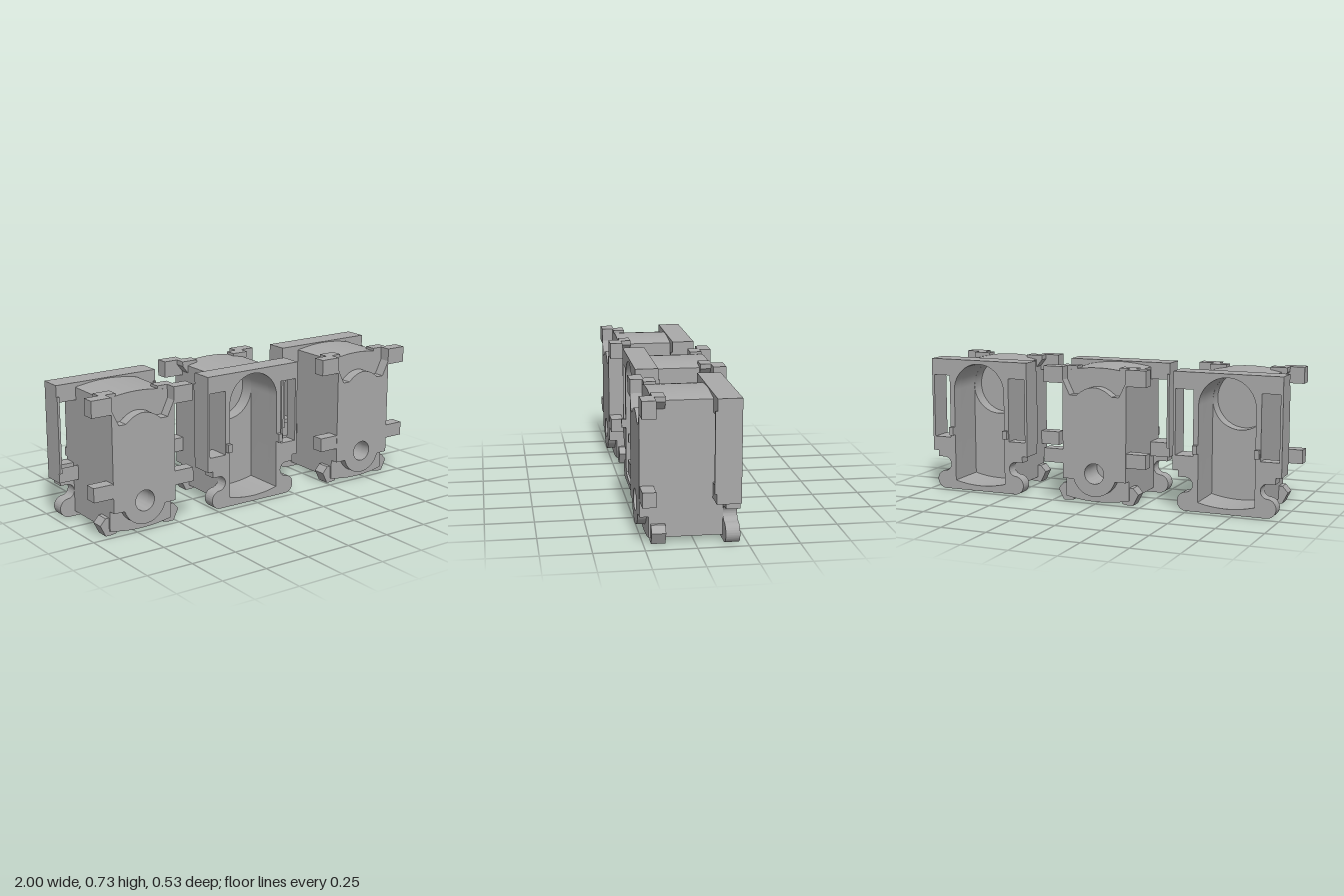
import * as THREE from 'three';
import { toCreasedNormals } from 'three/addons/utils/BufferGeometryUtils.js';

const grey = new THREE.MeshStandardMaterial({ color: 0xa9a9a9 });
grey.name = 'plastic grey';

// Extrude a shape from z0 to z1 as a named mesh
function slab(name, shape, z0, z1) {
  const geo = new THREE.ExtrudeGeometry(shape, { depth: z1 - z0, bevelEnabled: false, curveSegments: 20 });
  geo.translate(0, 0, z0);
  const mesh = new THREE.Mesh(toCreasedNormals(geo, 0.6), grey);
  mesh.name = name;
  return mesh;
}

function poly(points) {
  return new THREE.Shape(points.map(([x, y]) => new THREE.Vector2(x, y)));
}

function rect(x0, y0, x1, y1, Type = THREE.Shape) {
  return new Type([[x0, y0], [x1, y0], [x1, y1], [x0, y1]].map(([x, y]) => new THREE.Vector2(x, y)));
}

function circleHole(y, r) {
  return new THREE.Path().absarc(0, y, r, 0, Math.PI * 2);
}

// Arched opening with a slightly bowed floor
function archHole() {
  const p = new THREE.Path();
  p.moveTo(-0.152, 0.05);
  p.quadraticCurveTo(0, 0.01, 0.152, 0.05);
  p.lineTo(0.152, 0.553);
  p.absarc(0, 0.553, 0.152, 0, Math.PI);
  p.lineTo(-0.152, 0.05);
  return p;
}

// Body section with bowed top and bottom
function bodyShape(...holes) {
  const s = new THREE.Shape();
  s.moveTo(-0.18, 0.025);
  s.quadraticCurveTo(0, -0.015, 0.18, 0.025);
  s.lineTo(0.18, 0.7);
  s.quadraticCurveTo(0, 0.74, -0.18, 0.7);
  s.lineTo(-0.18, 0.025);
  s.holes.push(...holes);
  return s;
}

// Flange outline: square shoulders, round necks and rounded feet
function flangeShape() {
  const s = new THREE.Shape();
  s.moveTo(-0.215, 0);
  s.lineTo(0.215, 0);
  s.absarc(0.215, 0.05, 0.05, -Math.PI / 2, Math.PI / 2);
  s.absarc(0.22, 0.139, 0.039, -Math.PI / 2, Math.PI / 2, true);
  s.lineTo(0.26, 0.178);
  s.lineTo(0.26, 0.212);
  s.lineTo(0.29, 0.212);
  s.lineTo(0.29, 0.725);
  s.lineTo(-0.29, 0.725);
  s.lineTo(-0.29, 0.212);
  s.lineTo(-0.26, 0.212);
  s.lineTo(-0.26, 0.178);
  s.absarc(-0.22, 0.139, 0.039, Math.PI / 2, Math.PI * 1.5, true);
  s.absarc(-0.215, 0.05, 0.05, Math.PI / 2, Math.PI * 1.5);
  s.holes.push(archHole(), rect(0.18, 0.29, 0.277, 0.635, THREE.Path), rect(-0.277, 0.29, -0.18, 0.635, THREE.Path));
  return s;
}

// Front plate: scalloped top edge and a round boss at the bottom
function plateShape() {
  const s = new THREE.Shape();
  s.moveTo(-0.18, 0.13);
  s.lineTo(-0.118, 0.13);
  s.absarc(0, 0.165, 0.123, Math.PI + 0.29, Math.PI * 2 - 0.29);
  s.lineTo(0.18, 0.13);
  s.lineTo(0.18, 0.66);
  s.lineTo(0.14, 0.578);
  s.lineTo(0.1, 0.578);
  s.quadraticCurveTo(0, 0.668, -0.1, 0.578);
  s.lineTo(-0.14, 0.578);
  s.lineTo(-0.18, 0.66);
  s.holes.push(circleHole(0.165, 0.055));
  return s;
}

function createHousing() {
  const g = new THREE.Group();
  g.name = 'housing';

  // Hollow body, deeper round pocket, then the closed end with a blind hole
  g.add(
    slab('flange', flangeShape(), -0.21, -0.14),
    slab('hollowBody', bodyShape(archHole()), -0.14, 0.02),
    slab('pocketBody', bodyShape(circleHole(0.553, 0.152)), 0.02, 0.1),
    slab('closedBody', bodyShape(circleHole(0.165, 0.055)), 0.1, 0.205),
    slab('frontPlate', plateShape(), 0.205, 0.265),
    slab('flangeTopBar', rect(-0.18, 0.705, 0.18, 0.725), -0.14, -0.09)
  );

  // Lower step behind the boss
  const step = new THREE.Shape();
  step.moveTo(-0.18, 0.025);
  step.quadraticCurveTo(0, -0.015, 0.18, 0.025);
  step.lineTo(0.18, 0.14);
  step.lineTo(-0.18, 0.14);
  step.holes.push(circleHole(0.165 - 0.06, 0.001));
  step.holes.length = 0;
  // keep the blind hole clear
  const cut = new THREE.Shape();
  cut.moveTo(-0.18, 0.025);
  cut.quadraticCurveTo(0, -0.015, 0.18, 0.025);
  cut.lineTo(0.18, 0.135);
  cut.lineTo(0.07, 0.135);
  cut.lineTo(0.05, 0.105);
  cut.lineTo(-0.05, 0.105);
  cut.lineTo(-0.07, 0.135);
  cut.lineTo(-0.18, 0.135);
  g.add(slab('lowerStep', cut, 0.205, 0.222));

  // Mirrored side details
  for (const s of [-1, 1]) {
    const side = (pts) => poly(pts.map(([x, y]) => [x * s, y]));
    const box = (x0, y0, x1, y1) => side([[x0, y0], [x1, y0], [x1, y1], [x0, y1]]);
    const frame = box(0.17, 0.212, 0.29, 0.725);
    frame.holes.push(rect(s * 0.18, 0.29, s * 0.277, 0.635, THREE.Path));
    g.add(
      slab('windowFrame', frame, -0.14, -0.09),
      slab('frameLip', box(0.277, 0.263, 0.29, 0.665), -0.09, -0.08),
      slab('upperPeg', box(0.178, 0.638, 0.29, 0.725), 0.197, 0.265),
      slab('lowerPeg', box(0.17, 0.21, 0.29, 0.285), 0.197, 0.264),
      slab('upperPegRoot', side([[0.12, 0.7], [0.17, 0.66], [0.18, 0.66], [0.212, 0.7], [0.212, 0.725], [0.12, 0.725]]), 0.142, 0.204),
      slab('foot', side([[0.14, 0.005], [0.17, 0], [0.2, 0], [0.23, 0.06], [0.2, 0.094], [0.14, 0.094]]), 0.142, 0.212),
      slab('locatingPin', box(0.152, 0.305, 0.177, 0.35), -0.233, -0.2)
    );
  }
  return g;
}

export function createModel() {
  const model = new THREE.Group();
  model.name = 'threeHousings';
  // Row of three, the middle one turned around
  [-0.709, 0, 0.709].forEach((x, i) => {
    const unit = createHousing();
    unit.position.x = x;
    if (i === 1) unit.rotation.y = Math.PI;
    model.add(unit);
  });
  return model;
}
